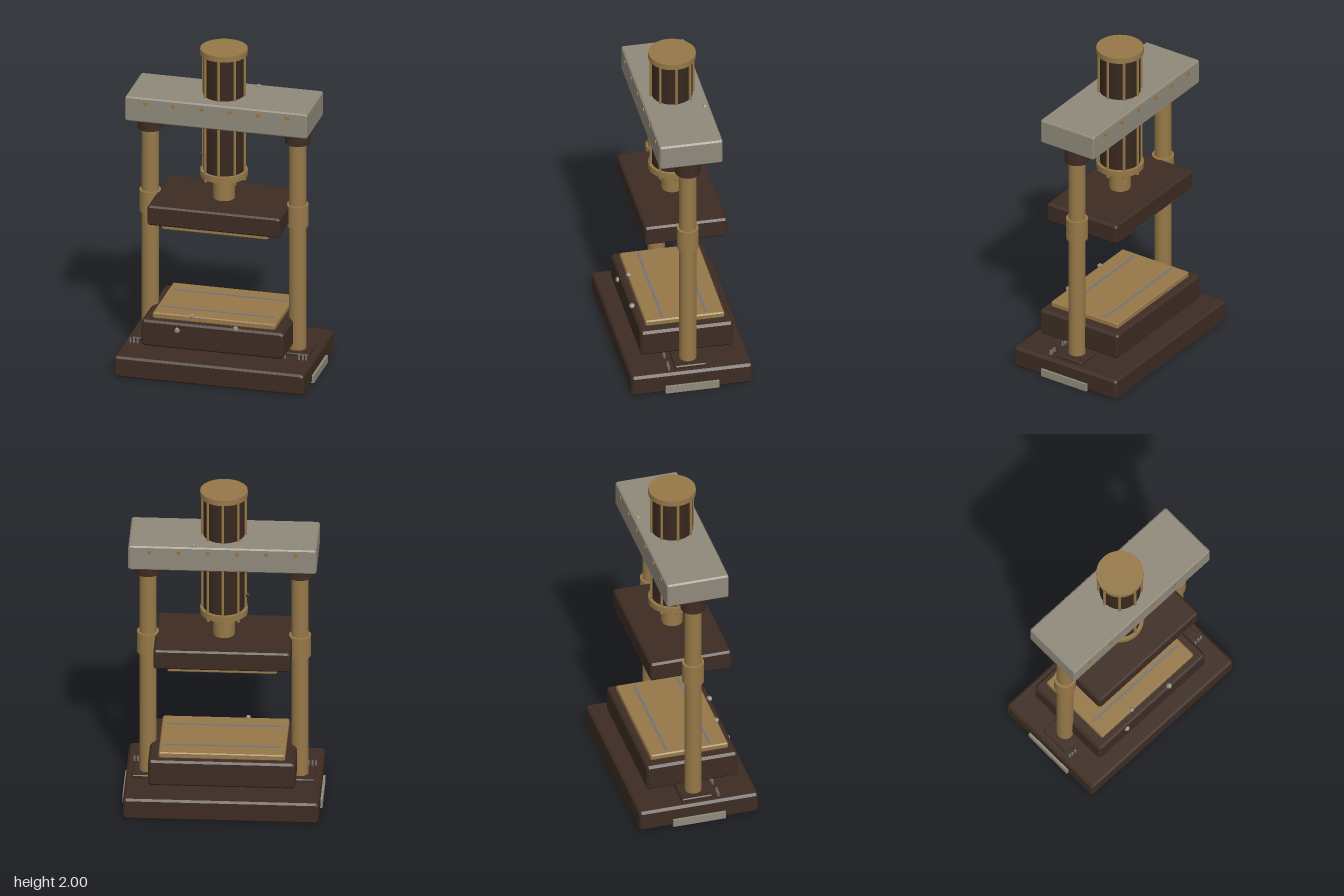
import * as THREE from 'three';

const mat = (name, color) => {
  const m = new THREE.MeshStandardMaterial({ color });
  m.name = name;
  return m;
};

export function createModel() {
  const root = new THREE.Group();
  root.name = 'hydraulicPress';
  const dark = mat('dark brown iron', 0x3d2c23);
  const barrelMat = mat('barrel brown', 0x37281e);
  const brass = mat('brass', 0x967848);
  const grey = mat('warm grey steel', 0x8f897a);
  const steel = mat('slot steel', 0x74757a);
  const copper = mat('copper', 0xa0703a);

  const add = (name, geo, material, x = 0, y = 0, z = 0, parent = root) => {
    const m = new THREE.Mesh(geo, material);
    m.name = name;
    m.position.set(x, y, z);
    parent.add(m);
    return m;
  };

  // Box with chamfered edges, given by full sizes
  const chamferBox = (w, h, d, c = 0.01) => {
    const a = w / 2 - c, b = h / 2 - c, k = c * 0.6;
    const s = new THREE.Shape();
    s.moveTo(-a + k, -b);
    [[a - k, -b], [a, -b + k], [a, b - k], [a - k, b], [-a + k, b], [-a, b - k], [-a, -b + k]]
      .forEach(([x, y]) => s.lineTo(x, y));
    s.closePath();
    const g = new THREE.ExtrudeGeometry(s, {
      depth: d - 2 * c, bevelEnabled: true, bevelSize: c, bevelThickness: c, bevelSegments: 1,
    });
    return g.translate(0, 0, -d / 2 + c);
  };
  const block = (name, material, hx, y0, y1, hz, c, x = 0) =>
    add(name, chamferBox(hx * 2, y1 - y0, hz * 2, c), material, x, (y0 + y1) / 2, 0);
  const cyl = (name, material, r, y0, y1, x = 0, z = 0, n = 32, parent = root) =>
    add(name, new THREE.CylinderGeometry(r, r, y1 - y0, n), material, x, (y0 + y1) / 2, z, parent);

  // Base, bed and crosshead
  block('base', dark, 0.572, 0, 0.13, 0.36, 0.012);
  block('bed', dark, 0.43, 0.18, 0.343, 0.275, 0.012);
  block('bedPlate', brass, 0.37, 0.343, 0.38, 0.235, 0.006);
  block('crosshead', grey, 0.55, 1.555, 1.71, 0.188, 0.008);
  for (const s of [-1, 1])
    add('bedSlot', new THREE.BoxGeometry(0.68, 0.006, 0.014), steel, 0, 0.38, s * 0.13);

  // Moving platen
  block('platen', dark, 0.4, 0.933, 1.055, 0.245, 0.01);
  block('platenPlate', brass, 0.32, 0.903, 0.933, 0.212, 0.005);

  // Columns with their fittings, and the side feet
  for (const s of [-1, 1]) {
    const x = s * 0.445;
    add('sideFoot', new THREE.BoxGeometry(0.1, 0.047, 0.32), grey, s * 0.535, 0.0265, 0);
    block('columnFlange', dark, 0.09, 0.125, 0.15, 0.092, 0.005, x);
    cyl('column', brass, 0.05, 0.13, 1.5, x);
    cyl('guideSleeve', brass, 0.064, 0.925, 1.06, x);
    cyl('columnCollar', dark, 0.074, 1.45, 1.54, x);
    cyl('collarRim', dark, 0.066, 1.54, 1.556, x);
    add('collarScrew', new THREE.BoxGeometry(0.012, 0.02, 0.02), dark, x + s * 0.075, 1.495, 0);
    for (const dx of [-0.085, -0.065, -0.042, 0.042, 0.065, 0.085])
      cyl('anchorStud', steel, 0.006, 0.128, 0.16, x + dx, 0.13, 8);
  }

  // Hydraulic cylinder with tie rods
  const ram = new THREE.Group();
  ram.name = 'hydraulicCylinder';
  root.add(ram);
  cyl('pistonRod', brass, 0.063, 1.05, 1.21, 0, 0, 32, ram);
  cyl('barrel', barrelMat, 0.12, 1.23, 1.97, 0, 0, 40, ram);
  cyl('lowerCap', brass, 0.139, 1.198, 1.235, 0, 0, 40, ram);
  cyl('upperCap', brass, 0.139, 1.965, 2, 0, 0, 40, ram);
  for (let i = 0; i < 8; i++) {
    const a = (i * Math.PI) / 4, x = Math.sin(a), z = Math.cos(a);
    cyl('tieRod', brass, 0.008, 1.23, 1.97, x * 0.126, z * 0.126, 10, ram);
    cyl('tieRodNut', brass, 0.011, 1.178, 1.2, x * 0.124, z * 0.124, 6, ram);
  }

  // Bolt heads along both long faces of the crosshead
  for (const s of [-1, 1])
    for (let i = 0; i < 6; i++) {
      const g = new THREE.CylinderGeometry(0.013, 0.013, 0.01, 6).rotateX(Math.PI / 2);
      add('crossheadBolt', g, copper, -0.428 + i * 0.171, 1.675, s * 0.189);
    }

  // Small loose fittings: position, radius and material
  const nub = new THREE.DodecahedronGeometry(1);
  [
    [-0.21, 0.3, 0.276, 0.018, grey], [0.14, 0.343, 0.268, 0.018, grey],
    [-0.13, 0.38, 0.232, 0.016, grey], [0.168, 1.71, -0.16, 0.015, grey],
    [-0.138, 1.31, 0, 0.014, dark],
  ].forEach(([x, y, z, r, m]) => add('fitting', nub, m, x, y, z).scale.setScalar(r));

  return root;
}
